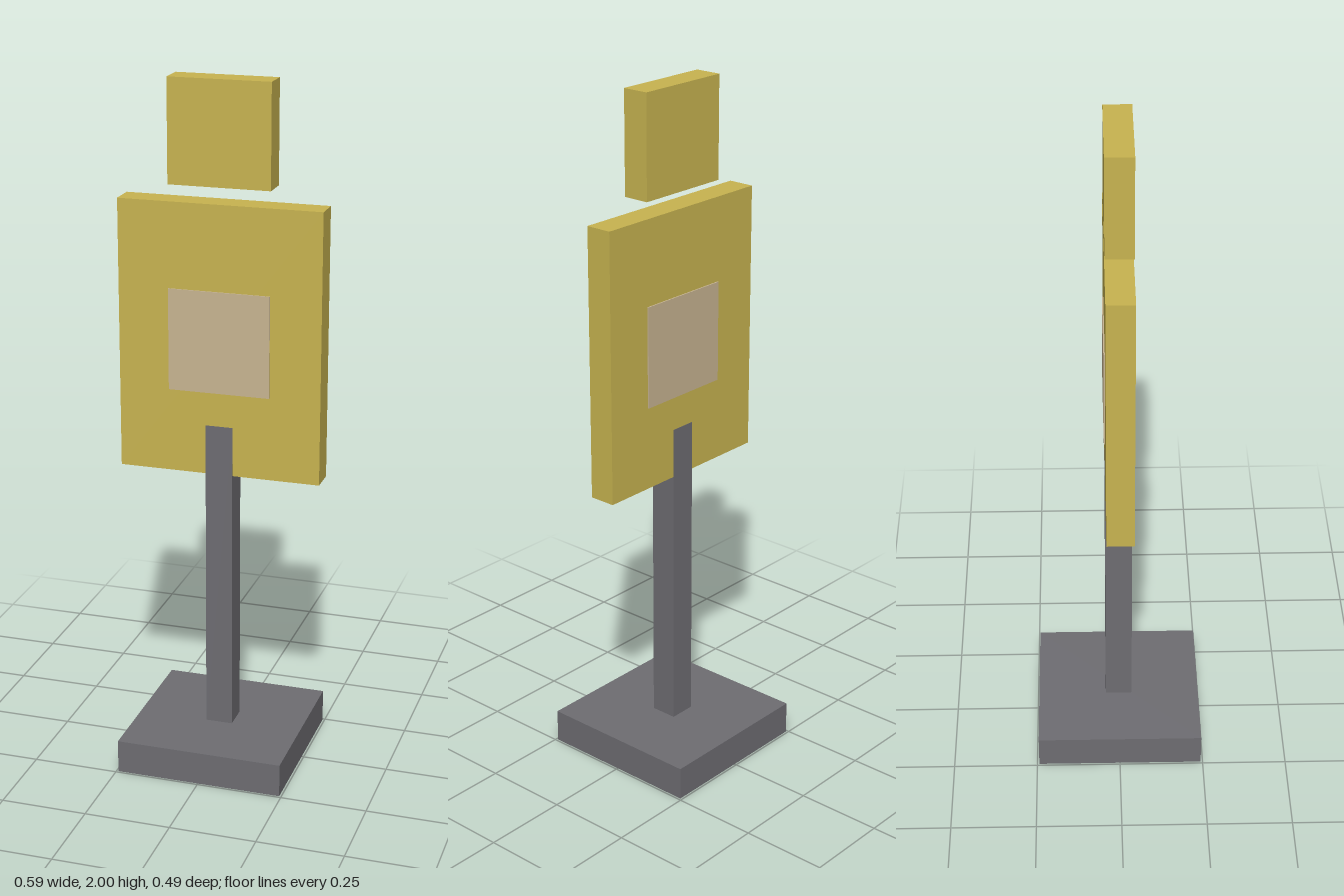
import * as THREE from 'three';

const material = (name, color) => {
  const m = new THREE.MeshStandardMaterial({ color });
  m.name = name;
  return m;
};

export function createModel() {
  const model = new THREE.Group();
  model.name = 'targetStand';

  const yellow = material('mustard yellow', 0xc8b450);
  const grey = material('dark grey', 0x6e6d72);
  const beige = material('beige', 0xc8b592);

  // Box centred on x and z, spanning bottom to top
  const block = (name, mat, width, bottom, top, depth) => {
    const mesh = new THREE.Mesh(new THREE.BoxGeometry(width, top - bottom, depth), mat);
    mesh.name = name;
    mesh.position.y = (bottom + top) / 2;
    model.add(mesh);
  };

  // Stand; the post stands a hair proud of the board it overlaps
  block('base', grey, 0.488, 0, 0.098, 0.488);
  block('post', grey, 0.079, 0.098, 1.024, 0.079);

  // Target body, with a centre panel showing on both faces
  block('bodyBoard', yellow, 0.586, 0.88, 1.66, 0.078);
  block('centrePanel', beige, 0.293, 1.122, 1.415, 0.086);

  // Head floating just above the body
  block('headBoard', yellow, 0.293, 1.707, 2, 0.078);

  return model;
}
